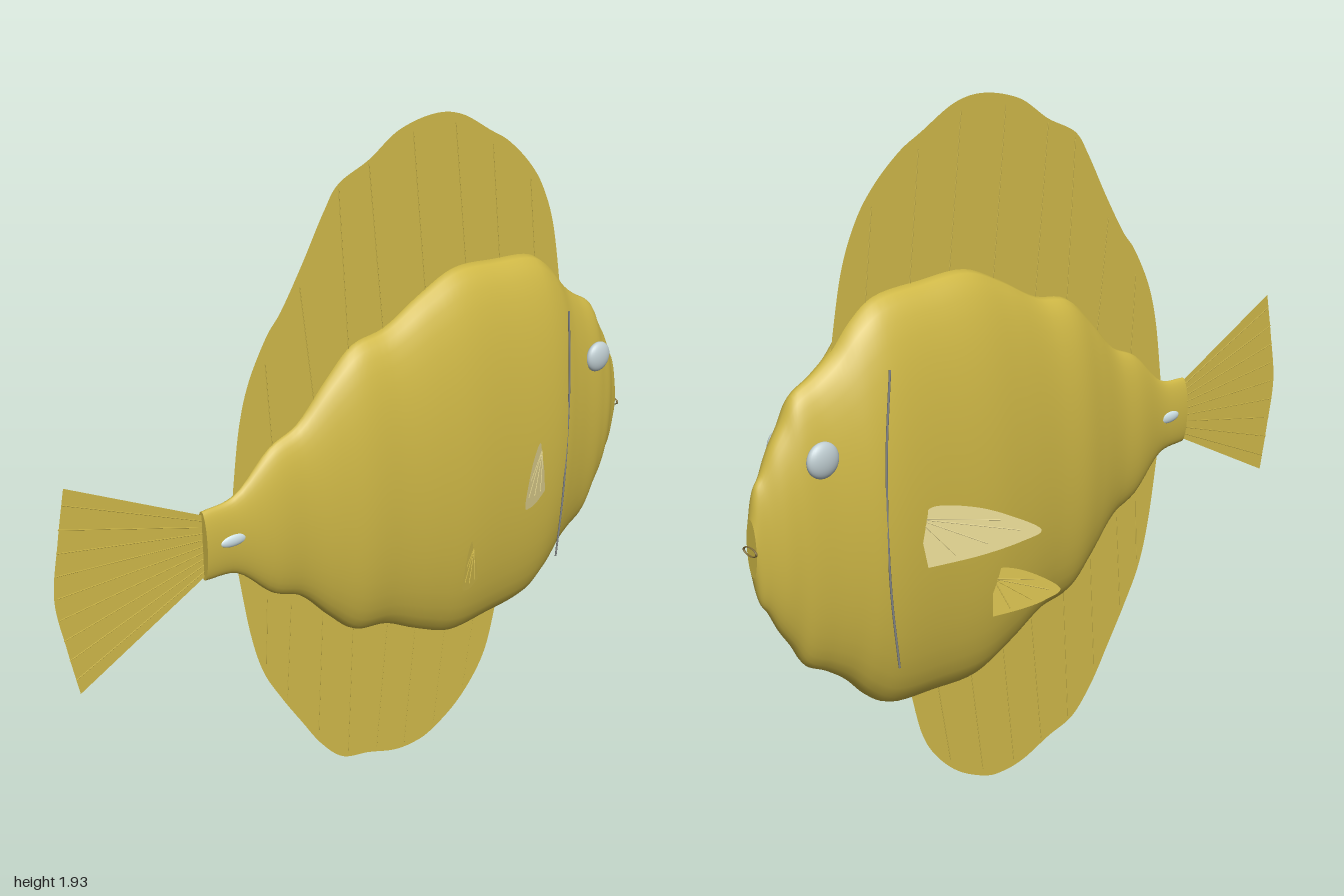
import * as THREE from 'three';

const mat = (name, color, side = THREE.FrontSide) =>
  Object.assign(new THREE.MeshStandardMaterial({ color, side }), { name });

const MID = 0.93; // height of the body axis

export function createModel() {
  const bodyMat = mat('body gold', 0xcfb846);
  const finMat = mat('fin gold', 0xd1ba4a, THREE.DoubleSide);
  const paleMat = mat('pale fin', 0xe2d490, THREE.DoubleSide);
  const gillMat = mat('gill grey', 0x85888a);
  const mouthMat = mat('mouth brown', 0x7d6a38);
  const eyeMat = mat('eye grey', 0xc0ced2);
  const spineMat = mat('spine white', 0xdcf0f5);

  const fish = new THREE.Group();
  fish.name = 'fish';
  const add = (name, geometry, material, parent = fish) => {
    const mesh = new THREE.Mesh(geometry, material);
    mesh.name = name;
    parent.add(mesh);
    return mesh;
  };

  // Body: ellipses lofted along x, given as x, half height, half width
  const stations = [
    [-0.56, 0.1, 0.022], [-0.46, 0.112, 0.026], [-0.34, 0.215, 0.049], [-0.25, 0.255, 0.058],
    [-0.15, 0.355, 0.08], [-0.06, 0.432, 0.099], [0.05, 0.455, 0.106], [0.18, 0.522, 0.12],
    [0.3, 0.57, 0.13], [0.45, 0.565, 0.13], [0.6, 0.548, 0.13], [0.67, 0.5, 0.122],
    [0.73, 0.435, 0.106], [0.79, 0.39, 0.09], [0.85, 0.355, 0.077], [0.885, 0.295, 0.067],
    [0.92, 0.24, 0.056], [0.95, 0.18, 0.038], [0.97, 0.15, 0.028], [0.986, 0.075, 0.02],
  ];
  const rings = new THREE.CatmullRomCurve3(stations.map(s => new THREE.Vector3(...s))).getPoints(95);
  const SIDES = 40;
  const positions = [], indices = [];
  rings.forEach((r, i) => {
    for (let j = 0; j < SIDES; j++) {
      const a = (j / SIDES) * Math.PI * 2;
      positions.push(r.x, MID + r.y * Math.cos(a), r.z * Math.sin(a));
      if (i === rings.length - 1) continue;
      const k = (j + 1) % SIDES, p = i * SIDES, q = p + SIDES;
      indices.push(p + j, p + k, q + j, p + k, q + k, q + j);
    }
  });
  const bodyGeo = new THREE.BufferGeometry();
  bodyGeo.setAttribute('position', new THREE.Float32BufferAttribute(positions, 3));
  bodyGeo.setIndex(indices);
  bodyGeo.computeVertexNormals();
  add('body', bodyGeo, bodyMat);
  for (const [name, r, turn] of [['snoutCap', rings.at(-1), 1], ['tailCap', rings[0], -1]]) {
    const cap = add(name, new THREE.CircleGeometry(1, SIDES), bodyMat);
    cap.position.set(r.x, MID, 0);
    cap.scale.set(r.z, r.y, 1);
    cap.rotation.y = turn * Math.PI / 2;
  }

  // Flat fin: a smooth outer edge closed by straight root points
  const finGeometry = (edge, root = []) => {
    const shape = new THREE.Shape();
    shape.moveTo(...edge[0]);
    shape.splineThru(edge.slice(1).map(p => new THREE.Vector2(...p)));
    root.forEach(p => shape.lineTo(...p));
    return new THREE.ShapeGeometry(shape, 40);
  };
  const ray = (parent, from, to, material = finMat) => add('finRay',
    new THREE.TubeGeometry(new THREE.LineCurve3(new THREE.Vector3(...from), new THREE.Vector3(...to)), 1, 0.0015, 5),
    material, parent);

  // Dorsal and anal fins
  add('dorsalFin', finGeometry([
    [-0.46, 1.05], [-0.435, 1.22], [-0.4, 1.34], [-0.34, 1.45], [-0.29, 1.51], [-0.22, 1.62],
    [-0.15, 1.74], [-0.1, 1.805], [0, 1.85], [0.1, 1.91], [0.22, 1.935], [0.32, 1.92],
    [0.43, 1.86], [0.5, 1.82], [0.58, 1.75], [0.64, 1.67], [0.69, 1.55], [0.73, 1.36],
  ], [[0.68, 1], [-0.46, 0.97]]), finMat);
  add('analFin', finGeometry([
    [-0.455, 0.83], [-0.42, 0.62], [-0.38, 0.48], [-0.32, 0.37], [-0.25, 0.26], [-0.18, 0.155],
    [-0.1, 0.075], [0, 0.045], [0.1, 0.01], [0.18, 0.002], [0.25, 0.015], [0.35, 0.07],
    [0.43, 0.15], [0.48, 0.24], [0.515, 0.38],
  ], [[0.48, 0.8], [-0.455, 0.9]]), finMat);
  const longRays = [
    [-0.33, 1.15, -0.345, 1.38], [-0.19, 1.24, -0.23, 1.56], [-0.07, 1.34, -0.1, 1.79],
    [0.05, 1.37, 0, 1.84], [0.2, 1.45, 0.15, 1.9], [0.35, 1.49, 0.3, 1.9],
    [0.48, 1.48, 0.44, 1.82], [0.62, 1.46, 0.59, 1.7],
    [-0.36, 0.7, -0.37, 0.5], [-0.28, 0.66, -0.3, 0.36], [-0.17, 0.58, -0.19, 0.2],
    [-0.06, 0.5, -0.08, 0.08], [0.07, 0.47, 0.03, 0.05], [0.18, 0.42, 0.14, 0.02],
    [0.3, 0.37, 0.26, 0.04], [0.42, 0.37, 0.38, 0.12],
  ];
  longRays.forEach(([x0, y0, x1, y1]) => ray(fish, [x0, y0, 0], [x1, y1, 0]));

  // Fanned tail fin
  const tail = new THREE.Group();
  tail.name = 'tail';
  fish.add(tail);
  add('tailFin', finGeometry(
    [[-0.948, 1.215], [-0.975, 1.08], [-0.998, 0.93], [-0.975, 0.78], [-0.948, 0.642]],
    [[-0.55, 0.845], [-0.55, 1.015]]), finMat, tail);
  for (let i = -4; i <= 4; i++) {
    const t = i / 4.6;
    ray(tail, [-0.55, MID + t * 0.08, 0], [-0.99 + 0.045 * t * t, MID + t * 0.28, 0]);
  }

  // Paired parts on both sides
  for (const s of [1, -1]) {
    const side = new THREE.Group();
    side.name = s > 0 ? 'frontSide' : 'backSide';
    fish.add(side);

    // Side fins are drawn in x and y, swept outwards to the tip and leaned a little
    const sideFin = (name, edge, [rootX, rootY, rootZ], material, tips) => {
      const out = (x, y) => s * (rootZ + (rootX - x) * 0.69 - (y - rootY) * 0.14);
      const g = finGeometry(edge);
      const p = g.attributes.position;
      for (let i = 0; i < p.count; i++) p.setZ(i, out(p.getX(i), p.getY(i)));
      g.computeVertexNormals();
      add(name, g, material, side);
      const [x0, y0] = edge[0];
      tips.forEach(([x, y]) => ray(side, [x0, y0, out(x0, y0)], [x, y, out(x, y)], material));
    };
    sideFin('pectoralFin', [[0.57, 0.925], [0.53, 0.955], [0.45, 0.947], [0.38, 0.92], [0.316, 0.878],
      [0.36, 0.85], [0.45, 0.82], [0.56, 0.797]], [0.565, 0.88, 0.127], paleMat,
      [[0.4, 0.91], [0.36, 0.88], [0.43, 0.85], [0.5, 0.825]]);
    sideFin('pelvicFin', [[0.31, 0.68], [0.29, 0.708], [0.23, 0.692], [0.165, 0.642],
      [0.2, 0.612], [0.25, 0.592], [0.32, 0.575]], [0.305, 0.64, 0.118], finMat,
      [[0.22, 0.67], [0.19, 0.64], [0.23, 0.615], [0.28, 0.595]]);

    // Eye
    const eye = add('eye', new THREE.SphereGeometry(0.046, 28, 20), eyeMat, side);
    eye.position.set(0.825, 1.135, s * 0.08);
    eye.scale.z = 0.46;

    // Gill line
    const gill = new THREE.CatmullRomCurve3([[0.645, 1.33], [0.663, 1.13], [0.668, 0.935], [0.663, 0.74], [0.645, 0.54]]
      .map(([x, y]) => new THREE.Vector3(x, y, s * 0.12)));
    add('gillLine', new THREE.TubeGeometry(gill, 30, 0.003, 6), gillMat, side);

    // Tail spine
    const spine = add('tailSpine', new THREE.SphereGeometry(1, 20, 12), spineMat, side);
    spine.position.set(-0.475, MID, s * 0.021);
    spine.scale.set(0.045, 0.018, 0.01);
  }

  // Mouth ring
  const mouth = add('mouth', new THREE.TorusGeometry(0.026, 0.003, 8, 28), mouthMat);
  mouth.position.set(0.991, 0.925, 0);
  mouth.rotation.y = Math.PI / 2;
  mouth.scale.y = 0.42;

  return fish;
}
